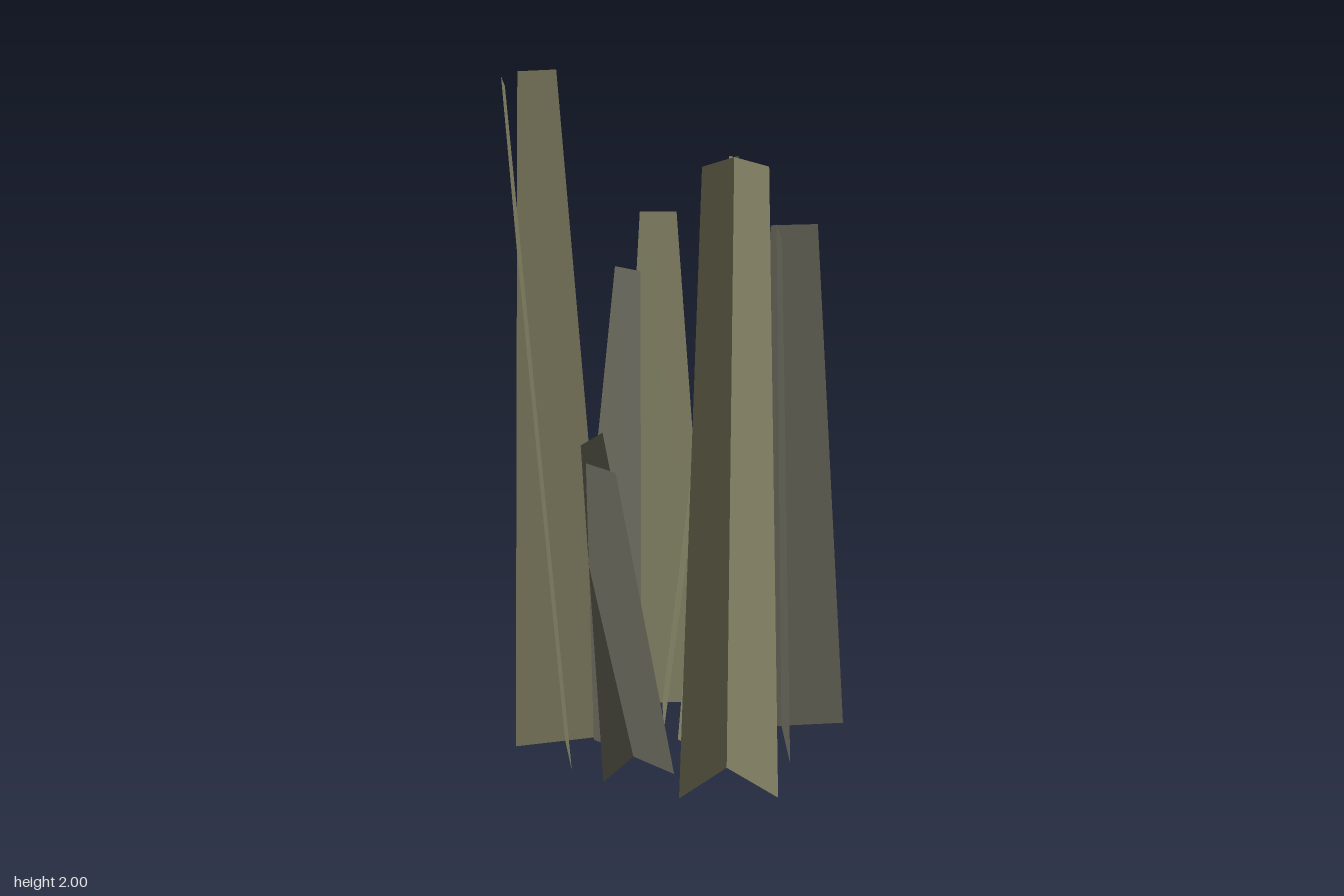
import * as THREE from 'three';

const makeMaterial = (color) =>
  new THREE.MeshStandardMaterial({ color, side: THREE.DoubleSide, flatShading: true });

// Flat blade: upright strip, a third as wide at the cut tip, leaning along +z.
function bladeGeometry(width, height, lean) {
  const geometry = new THREE.PlaneGeometry(width, height);
  const p = geometry.attributes.position;
  for (let i = 0; i < p.count; i++) {
    const top = p.getY(i) > 0;
    p.setXYZ(i, p.getX(i) * (top ? 1 / 3 : 1), top ? height : 0, top ? lean : 0);
  }
  geometry.computeVertexNormals();
  return geometry;
}

export function createModel() {
  const model = new THREE.Group();
  model.name = 'grassTuft';

  const olive = makeMaterial(0x868466);
  const grey = makeMaterial(0x68675b);

  // Each clump: base position, lean heading in degrees, blade size and lean
  const clumps = [
    { x: 0.005, z: 0.21, heading: -98.3, width: 0.4, height: 1.82, lean: 0.05, material: olive },
    { x: 0.268, z: 0.149, heading: -147.2, width: 0.378, height: 1.58, lean: 0.048, material: grey },
    { x: 0.055, z: -0.17, heading: -54.5, width: 0.31, height: 1.53, lean: 0.186, material: olive },
    { x: -0.11, z: -0.24, heading: -113.7, width: 0.25, height: 1.39, lean: 0.17, material: grey },
    { x: -0.18, z: 0, heading: 162.2, width: 0.294, height: 1.01, lean: 0.126, material: grey },
    { x: -0.296, z: -0.188, heading: -153.5, width: 0.297, height: 2, lean: 0.095, material: olive },
  ];

  clumps.forEach((c, n) => {
    const clump = new THREE.Group();
    clump.name = `clump${n + 1}`;
    clump.position.set(c.x, 0, c.z);
    clump.rotation.y = THREE.MathUtils.degToRad(90 - c.heading);

    // Two blades crossing at right angles, each leaning along its own normal
    const geometry = bladeGeometry(c.width, c.height, c.lean);
    for (let i = 0; i < 2; i++) {
      const blade = new THREE.Mesh(geometry, c.material);
      blade.name = `blade${i + 1}`;
      blade.rotation.y = (-i * Math.PI) / 2;
      clump.add(blade);
    }
    model.add(clump);
  });

  return model;
}
